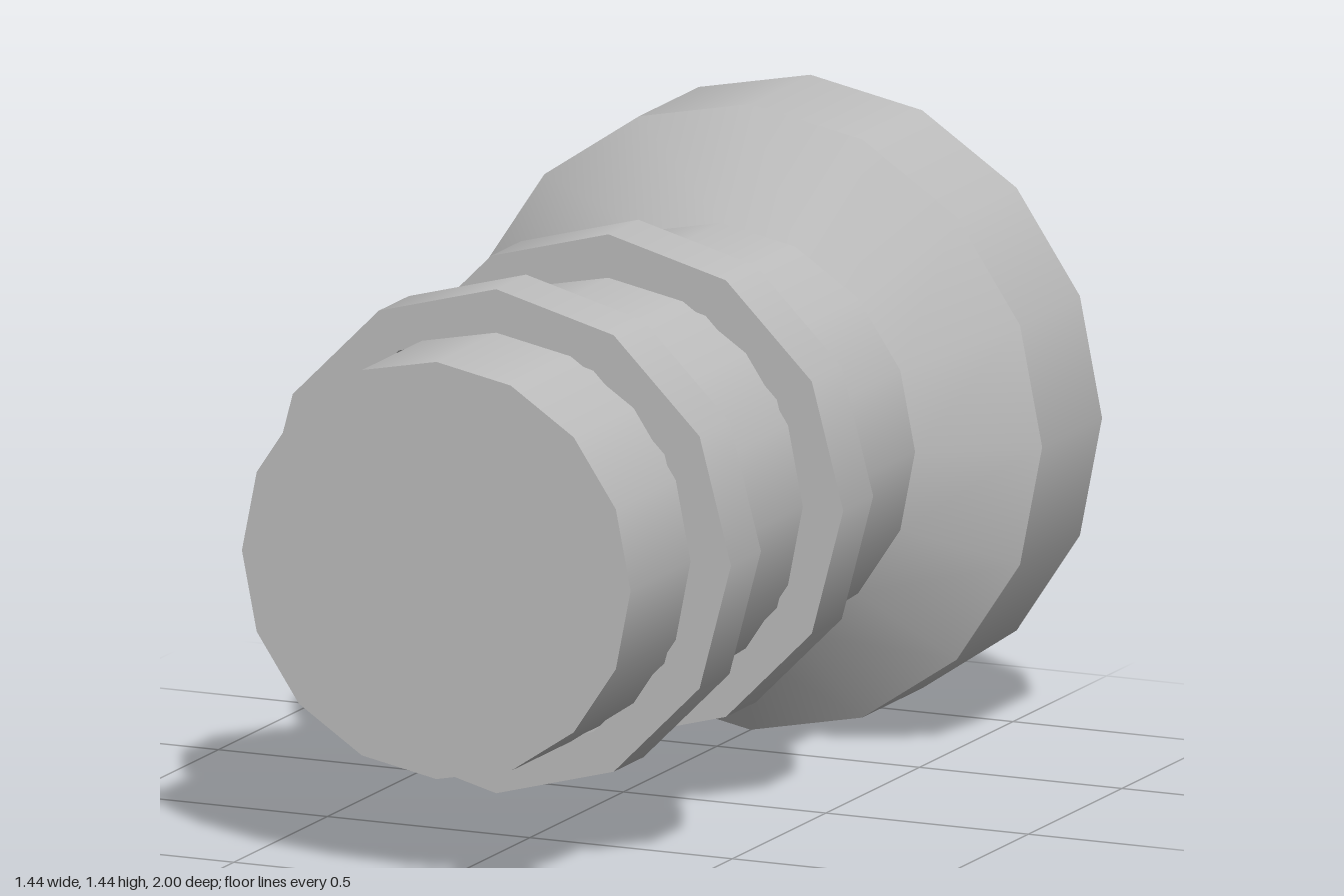
import * as THREE from 'three';
import { mergeGeometries } from 'three/addons/utils/BufferGeometryUtils.js';

// Turns a profile of [radius, z] points around z: smooth around, sharp between segments.
function turned(profile, sides) {
  const strips = [];
  for (let i = 0; i < profile.length - 1; i++) {
    const pair = [profile[i], profile[i + 1]].map(([r, z]) => new THREE.Vector2(r, z));
    strips.push(new THREE.LatheGeometry(pair, sides));
  }
  return mergeGeometries(strips).rotateX(Math.PI / 2);
}

export function createModel() {
  const group = new THREE.Group();
  const grey = new THREE.MeshStandardMaterial({ color: 0xbfbfbf });
  grey.name = 'grey';

  const add = (name, geometry, x = 0, y = 0, z = 0) => {
    const mesh = new THREE.Mesh(geometry, grey);
    mesh.name = name;
    mesh.position.set(x, y + 0.72, z);
    group.add(mesh);
  };

  // Main barrel with a closed front
  add('barrel', turned([[0.48, -0.52], [0.48, 1], [0, 1]], 16));

  // Flared head with a rim around the open back
  add('flaredHead', turned([[0.6, -1], [0.72, -1], [0.72, -0.68], [0.48, -0.52]], 16));

  // Sunken plate, reaching behind the rim
  add('backPlate', turned([[0, -0.93], [0.71, -0.93]], 16));

  // Two twelve-sided collars
  const collar = turned([[0.48, -0.08], [0.58, -0.08], [0.58, 0.08], [0.48, 0.08], [0.48, -0.08]], 12);
  for (const z of [0, 0.6]) add('collar', collar, 0, 0, z);

  // Three round studs on the back plate
  const stud = turned([[0, -0.998], [0.16, -0.998], [0.16, -0.92]], 12);
  for (let i = 0; i < 3; i++) {
    const a = Math.PI / 2 + (i * Math.PI * 2) / 3;
    add('stud', stud, 0.35 * Math.cos(a), 0.35 * Math.sin(a));
  }

  return group;
}
